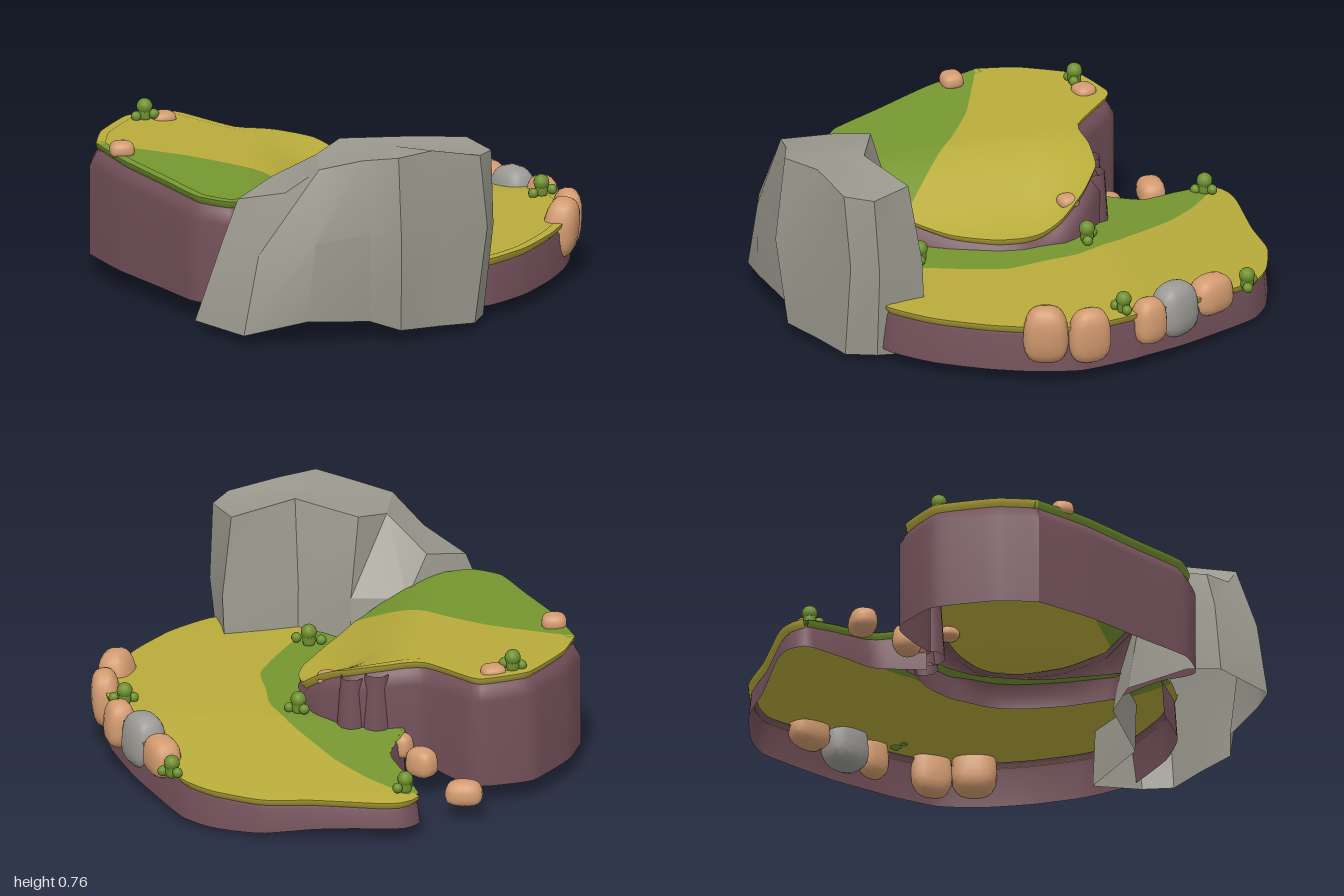
import * as THREE from 'three';
import { RoundedBoxGeometry } from 'three/addons/geometries/RoundedBoxGeometry.js';
import { toCreasedNormals } from 'three/addons/utils/BufferGeometryUtils.js';

const paint = (name, color, side = THREE.FrontSide) => {
  const m = new THREE.MeshStandardMaterial({ color, side });
  m.name = name;
  return m;
};
const { smoothstep } = THREE.MathUtils;

// Resampled ground path with slightly softened corners, from [x, z] pairs
const path = (pts, n) => new THREE.CatmullRomCurve3(
  pts.map(([x, z]) => new THREE.Vector3(x, 0, z)), false, 'catmullrom', 0.25).getSpacedPoints(n);

// Shift a clockwise path sideways; positive is outward
function offset(pts, d) {
  return pts.map((p, i) => {
    const a = pts[Math.max(i - 1, 0)], b = pts[Math.min(i + 1, pts.length - 1)];
    const t = b.clone().sub(a).normalize();
    return new THREE.Vector3(p.x + t.z * d, p.y, p.z - t.x * d);
  });
}

// Surface through rows of equally many points
function loft(rows) {
  const n = rows[0].length, index = [];
  for (let r = 0; r < rows.length - 1; r++)
    for (let i = 0; i < n - 1; i++) {
      const a = r * n + i, b = a + n;
      index.push(a, a + 1, b, a + 1, b + 1, b);
    }
  const g = new THREE.BufferGeometry().setFromPoints(rows.flat());
  g.setIndex(index);
  g.computeVertexNormals();
  return g;
}

// Height rules for both terraces
const fall = z => Math.max(0, -0.35 - z) / 0.63;
const lowTop = p => 0.245 - 0.08 * fall(p.z);
const lowBottom = p => 0.055 - 0.045 * fall(p.z) * smoothstep(p.x, -0.3, 0.45);
const highTop = p => 0.485 - 0.05 * p.x - 0.02 * p.z
  - 0.185 * smoothstep(p.x, -0.35, 0.15) * (0.25 + 0.75 * smoothstep(p.z, -0.42, -0.08));
const highBottom = p => 0.08 + 0.07 * smoothstep(p.x, -0.5, -0.15);

// Ground plan
const LOW_NOTCH = [[-0.3, -0.4], [-0.28, -0.52], [-0.27, -0.62], [-0.35, -0.77], [-0.41, -0.9]];
const LOW_INNER = [...LOW_NOTCH].reverse().concat(
  [[-0.05, -0.33], [0.05, -0.24], [0.1, -0.1], [0.08, 0.15], [-0.04, 0.42], [-0.1, 0.58]]);
const LOW_SPLIT = [[-0.39, -0.93], [-0.2, -0.8], [-0.05, -0.66], [0.15, -0.4], [0.25, -0.22], [0.28, -0.08],
  [0.32, 0.08], [0.28, 0.25], [0.19, 0.5], [0, 0.66]];
const LOW_OUTER = [[-0.41, -0.92], [-0.37, -0.97], [-0.28, -0.99], [0, -0.985], [0.2, -1], [0.4, -0.945],
  [0.52, -0.87], [0.62, -0.73], [0.75, -0.53], [0.86, -0.31], [0.92, -0.08], [0.89, 0.1], [0.82, 0.28],
  [0.71, 0.47], [0.56, 0.62], [0.3, 0.7], [0.1, 0.7]];
const HIGH_BACK = [[-0.97, -0.1], [-0.94, -0.27], [-0.82, -0.5], [-0.64, -0.58], [-0.57, -0.565], [-0.37, -0.4],
  [-0.23, -0.41], [-0.07, -0.4], [0.05, -0.32], [0.13, -0.21], [0.18, -0.04], [0.17, 0.08], [0.1, 0.26], [0, 0.42]];
const HIGH_SPLIT = [[-0.94, -0.1], [-0.6, 0.02], [-0.4, 0.13], [-0.22, 0.26], [-0.02, 0.42]];
const HIGH_FRONT = [[0, 0.42], [-0.2, 0.55], [-0.45, 0.65], [-0.6, 0.58], [-0.72, 0.38], [-0.87, 0.13], [-0.97, -0.1]];

// Cliff rock, one [bottom, middle, top] column per corner
const ROCK = [
  [[-0.6, 0.04, 0.72], [-0.49, 0.37, 0.72], [-0.43, 0.53, 0.7]],
  [[-0.42, 0.04, 0.95], [-0.36, 0.36, 0.92], [-0.25, 0.59, 0.83]],
  [[-0.17, 0.1, 0.97], [-0.14, 0.42, 0.98], [-0.12, 0.7, 0.89]],
  [[0.08, 0.08, 0.91], [0.08, 0.45, 0.95], [0.05, 0.74, 0.91]],
  [[0.2, 0.05, 0.94], [0.2, 0.42, 0.99], [0.19, 0.76, 0.95]],
  [[0.36, 0.04, 0.85], [0.36, 0.45, 0.87], [0.33, 0.76, 0.85]],
  [[0.5, 0.03, 0.78], [0.55, 0.42, 0.77], [0.52, 0.72, 0.79]],
  [[0.54, 0.03, 0.66], [0.58, 0.4, 0.66], [0.57, 0.71, 0.68]],
  [[0.49, 0, 0.45], [0.51, 0.4, 0.47], [0.48, 0.72, 0.52]],
  [[0.22, 0.04, 0.56], [0.22, 0.42, 0.57], [0.24, 0.76, 0.64]],
  [[0, 0.1, 0.42], [0, 0.42, 0.46], [-0.02, 0.73, 0.55]],
  [[-0.22, 0.1, 0.43], [-0.22, 0.42, 0.48], [-0.12, 0.7, 0.67]],
  [[-0.45, 0.1, 0.62], [-0.4, 0.4, 0.6], [-0.29, 0.58, 0.56]],
];

export function createModel() {
  const D = THREE.DoubleSide;
  const yellow = paint('dry grass', 0xb8ab3b, D), green = paint('green grass', 0x769630, D);
  const earth = paint('earth', 0x735059, D), rock = paint('cliff rock', 0x9b998e, D);
  const orange = paint('sandstone', 0xd39b70), grey = paint('grey stone', 0x9b9a95);
  const leaf = paint('plant', 0x6e8f2d);

  const model = new THREE.Group();
  const add = (name, geo, mat, parent = model) => {
    const m = new THREE.Mesh(geo, mat);
    m.name = name;
    parent.add(m);
    return m;
  };

  // Grass between two paths, following a height rule
  const grass = (name, a, b, top, mat) => {
    const rows = [];
    for (let r = 0; r <= 12; r++)
      rows.push(a.map((p, i) => {
        const q = p.clone().lerp(b[i], r / 12);
        return q.setY(top(q));
      }));
    add(name, loft(rows), mat);
  };
  // Band along a path, one row for each [offset, height rule]
  const band = (name, pts, rows, mat) =>
    add(name, loft(rows.map(([d, y]) => offset(pts, d).map(p => p.setY(y(p))))), mat);
  // Overhanging turf edge, tucked in underneath
  const lip = (name, pts, top, mat, d) => {
    band(name, pts, [[d - 0.03, p => top(p) + 0.002], [d + 0.006, p => top(p) + 0.001]], mat);
    band(name, pts, [[d + 0.006, p => top(p) + 0.001], [d + 0.002, p => top(p) - 0.016],
      [d - 0.014, p => top(p) - 0.034]], mat);
  };

  // Lower terrace
  const N = 72;
  const lowOuter = path(LOW_OUTER, N), lowSplit = path(LOW_SPLIT, N), notch = path(LOW_NOTCH, 16);
  grass('lowerGreenGrass', path(LOW_INNER, N), lowSplit, lowTop, green);
  grass('lowerDryGrass', lowSplit, lowOuter, lowTop, yellow);
  lip('lowerDryLip', lowOuter, lowTop, yellow, 0);
  lip('lowerGreenLip', notch, lowTop, green, -0.01);
  band('lowerEarthWall', path([...LOW_NOTCH, ...LOW_OUTER, [-0.1, 0.6]], 100), [
    [-0.025, p => lowTop(p) - 0.012], [-0.005, p => lowTop(p) - 0.04], [0.005, lowBottom]], earth);

  // Upper terrace
  const back = path(HIGH_BACK, N), front = path(HIGH_FRONT, N), split = path(HIGH_SPLIT, N);
  grass('upperDryGrass', split, offset(back, -0.03), highTop, yellow);
  grass('upperGreenGrass', [...split].reverse(), offset(front, -0.03), highTop, green);
  lip('upperDryLip', back, highTop, yellow, -0.03);
  lip('upperGreenLip', front, highTop, green, -0.03);
  band('upperEarthWall', [...back, ...front.slice(1)], [
    [-0.05, p => highTop(p) - 0.015], [-0.025, p => highTop(p) - 0.045],
    [0, p => Math.max(highTop(p) - 0.09, highBottom(p) + 0.02)], [0, highBottom]], earth);
  // Fluted bulges of earth beside the notch
  for (const [x, z, r] of [[-0.19, -0.37, 0.07], [-0.09, -0.37, 0.065]]) {
    const h = highTop({ x, z }) - 0.19;
    add('earthFlute', new THREE.CylinderGeometry(r * 0.7, r, h, 10, 1, true), earth).position.set(x, 0.16 + h / 2, z);
  }

  // Cliff rock, open underneath: sides, high plateau and left shoulder
  const tri = [], put = (...v) => v.forEach(p => tri.push(new THREE.Vector3(...p)));
  ROCK.forEach((a, i) => {
    const b = ROCK[(i + 1) % ROCK.length];
    for (let k = 0; k < 2; k++) put(a[k], b[k], b[k + 1], a[k], b[k + 1], a[k + 1]);
    put(a[2], b[2], i >= 2 && i < 11 ? [0.18, 0.755, 0.76] : [-0.24, 0.6, 0.7]);
  });
  put(ROCK[11][2], ROCK[2][2], [0.18, 0.755, 0.76], ROCK[2][2], ROCK[11][2], [-0.24, 0.6, 0.7]);
  add('cliffRock', toCreasedNormals(new THREE.BufferGeometry().setFromPoints(tri), 0.45), rock);

  // Rounded stones, narrower on top: x, y, z, width, height, depth, turn, lean
  const block = new RoundedBoxGeometry(1, 1, 1, 2, 0.38);
  const bp = block.attributes.position;
  for (let i = 0; i < bp.count; i++) {
    const k = 0.98 - 0.14 * bp.getY(i);
    bp.setXYZ(i, bp.getX(i) * k, bp.getY(i), bp.getZ(i) * k);
  }
  const stoneGeo = toCreasedNormals(block, 0.5);
  const stones = [
    [0.91, 0.2, -0.11, 0.12, 0.23, 0.17, 0.1, -0.1], [0.88, 0.21, 0.06, 0.14, 0.24, 0.18, -0.25, -0.15],
    [0.83, 0.2, -0.37, 0.12, 0.19, 0.14, 0.4, 0], [0.63, 0.195, -0.67, 0.13, 0.16, 0.19, 0.5, 0],
    [-0.57, 0.11, -0.72, 0.15, 0.1, 0.11, 0, 0], [-0.38, 0.14, -0.5, 0.13, 0.12, 0.1, -0.6, 0],
    [-0.29, 0.18, -0.43, 0.1, 0.1, 0.08, -0.5, 0], [-0.66, 0.53, -0.47, 0.1, 0.05, 0.09, 0.3, 0],
    [-0.85, 0.545, 0.02, 0.1, 0.065, 0.09, 0.1, 0], [0.02, 0.375, -0.24, 0.085, 0.05, 0.085, 0.2, 0],
    [0.72, 0.19, -0.5, 0.15, 0.22, 0.2, 0.6, 0],
  ];
  stones.forEach(([x, y, z, w, h, d, turn, lean], i) => {
    const s = add('stone', stoneGeo, i === stones.length - 1 ? grey : orange);
    s.position.set(x, y, z);
    s.scale.set(w, h, d);
    s.rotation.set(0, turn, lean);
  });

  // Bulbous plants: x, base y, z, turn, width
  const stem = new THREE.CapsuleGeometry(0.026, 0.035, 3, 10), head = new THREE.SphereGeometry(0.032, 12, 8);
  const bulb = new THREE.SphereGeometry(0.021, 10, 7);
  for (const [x, y, z, turn, w] of [[-0.735, 0.53, -0.45, 0, 1], [-0.355, 0.175, -0.885, 1, 1],
    [0.575, 0.18, -0.83, 2.6, 1], [0.82, 0.245, -0.27, 0.3, 1.15], [0.13, 0.245, -0.29, 2.6, 1],
    [0.16, 0.245, 0.395, 0, 1.4]]) {
    const plant = new THREE.Group();
    plant.name = 'plant';
    plant.position.set(x, y, z);
    plant.rotation.y = turn;
    add('stem', stem, leaf, plant).position.y = 0.03;
    add('head', head, leaf, plant).position.y = 0.052;
    add('sideBulb', bulb, leaf, plant).position.set(0.036 * w, 0.022, 0.01);
    add('sideBulb', bulb, leaf, plant).position.set(-0.034 * w, 0.014, 0.014);
    model.add(plant);
  }
  return model;
}
